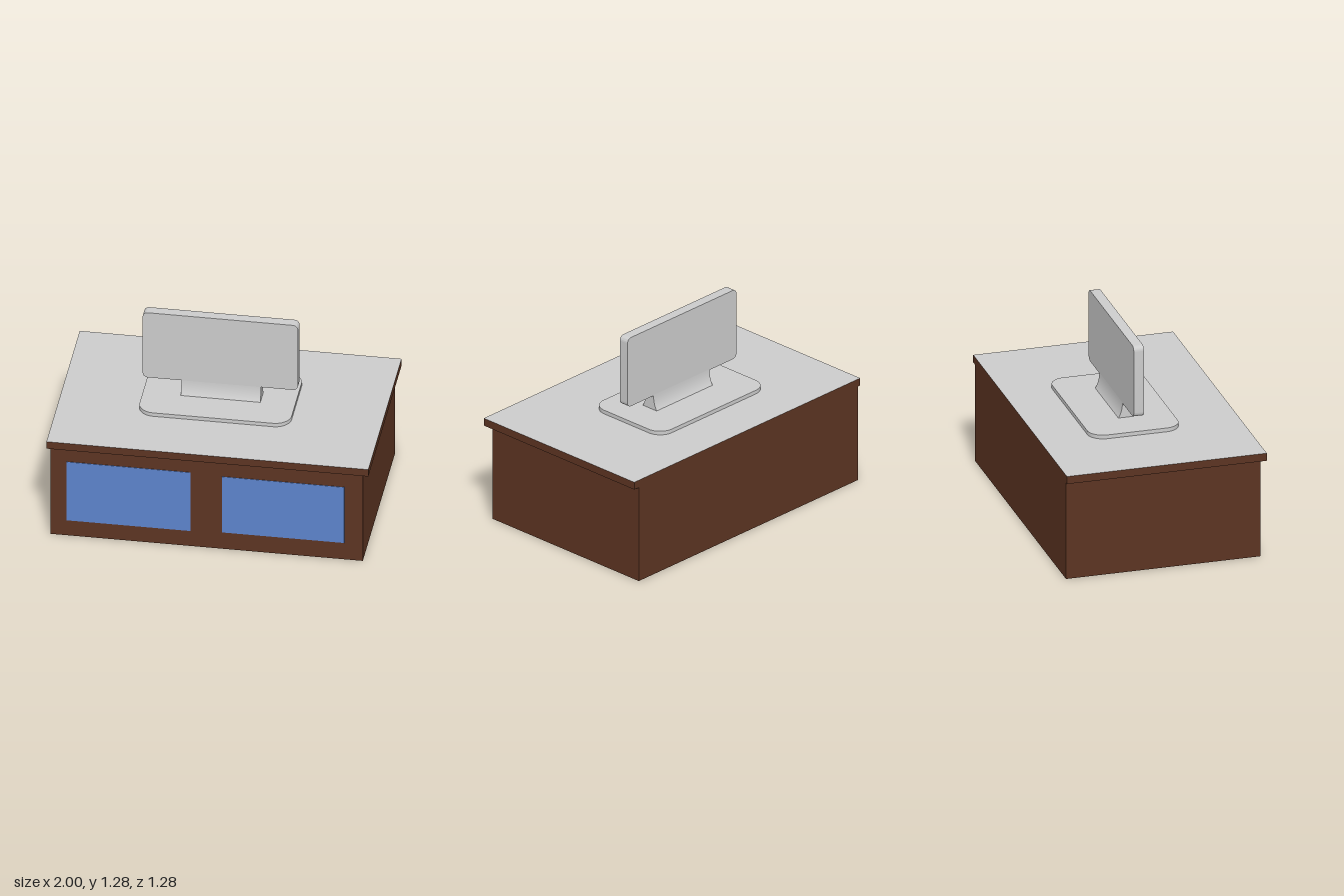
import * as THREE from 'three';
import { toCreasedNormals } from 'three/addons/utils/BufferGeometryUtils.js';

const paint = (name, hex) => {
  const m = new THREE.MeshStandardMaterial({ color: hex });
  m.name = name;
  return m;
};

// Rectangle with rounded corners, given by its limits
function roundedRect(x0, x1, y0, y1, r) {
  const s = new THREE.Shape();
  s.absarc(x1 - r, y1 - r, r, 0, Math.PI / 2);
  s.absarc(x0 + r, y1 - r, r, Math.PI / 2, Math.PI);
  s.absarc(x0 + r, y0 + r, r, Math.PI, Math.PI * 1.5);
  s.absarc(x1 - r, y0 + r, r, Math.PI * 1.5, Math.PI * 2);
  s.closePath();
  return s;
}

const extrude = (shape, depth) =>
  new THREE.ExtrudeGeometry(shape, { depth, bevelEnabled: false, curveSegments: 8 });

export function createModel() {
  const group = new THREE.Group();
  const wood = paint('brown wood', 0x5c3422);
  const grey = paint('light grey', 0xcccccc);
  const blue = paint('blue panel', 0x5c83cc);

  const add = (name, geometry, material) => {
    const mesh = new THREE.Mesh(geometry, material);
    mesh.name = name;
    group.add(mesh);
  };
  const box = (name, [x0, x1], [y0, y1], [z0, z1], material) => {
    const g = new THREE.BoxGeometry(x1 - x0, y1 - y0, z1 - z0);
    g.translate((x0 + x1) / 2, (y0 + y1) / 2, (z0 + z1) / 2);
    add(name, g, material);
  };

  // Cabinet and worktop: wooden sides, grey upper and lower faces
  const sides = [wood, wood, grey, grey, wood, wood];
  box('cabinetBody', [-0.98, 0.96], [0, 0.64], [-0.64, 0.605], sides);
  box('worktop', [-1, 1], [0.64, 0.69], [-0.64, 0.64], sides);

  // Blue door panels
  box('rightDoorPanel', [-0.88, -0.11], [0.11, 0.535], [0.604, 0.608], blue);
  box('leftDoorPanel', [0.085, 0.845], [0.12, 0.525], [0.604, 0.608], blue);

  // Stand base: rounded plate lying on the worktop
  const base = extrude(roundedRect(-0.5, 0.445, -0.25, 0.33, 0.1), 0.025);
  base.rotateX(-Math.PI / 2).translate(0, 0.69, 0);
  add('standBase', toCreasedNormals(base, 0.5), grey);

  // Stand neck: flared side profile swept across the width
  const profile = new THREE.Shape();
  profile.moveTo(-0.09, 0.715);
  profile.lineTo(0.027, 0.715);
  profile.quadraticCurveTo(0.002, 0.755, 0, 0.815);
  profile.lineTo(-0.063, 0.815);
  profile.quadraticCurveTo(-0.065, 0.755, -0.09, 0.715);
  const neck = extrude(profile, 0.495);
  neck.rotateY(-Math.PI / 2).translate(0.23, 0, 0);
  add('standNeck', toCreasedNormals(neck, 0.5), grey);

  // Screen
  const screen = extrude(roundedRect(-0.505, 0.46, 0.81, 1.28, 0.032), 0.065);
  screen.translate(0, 0, -0.063);
  add('screen', toCreasedNormals(screen, 0.5), grey);

  return group;
}
